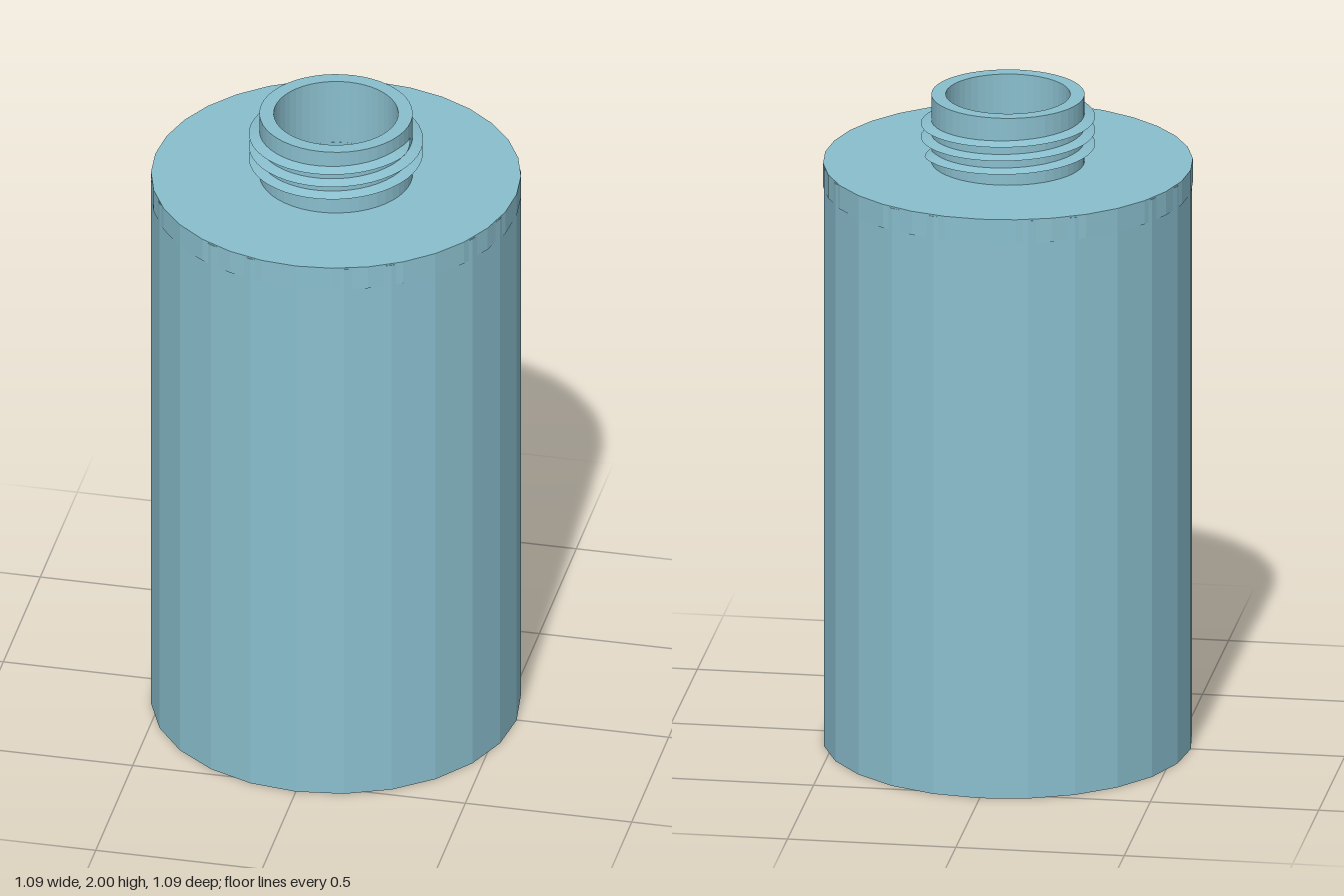
import * as THREE from 'three';

const material = new THREE.MeshStandardMaterial({ color: 0x8abfce });
material.name = 'dusty blue';

// Facets every face so the low-poly sides stay crisp
function addPart(group, name, geometry) {
  const flat = geometry.index ? geometry.toNonIndexed() : geometry;
  flat.computeVertexNormals();
  const mesh = new THREE.Mesh(flat, material);
  mesh.name = name;
  group.add(mesh);
}

// Closed hollow ring with a rectangular section
function ring(outer, inner, bottom, top, sides) {
  const section = [[inner, bottom], [outer, bottom], [outer, top], [inner, top], [inner, bottom]];
  return new THREE.LatheGeometry(section.map(([r, y]) => new THREE.Vector2(r, y)), sides);
}

// Triangular ridge winding up the neck, fading out at both ends
function helix(root, depth, halfHeight, bottom, top, turns, stepsPerTurn) {
  const steps = turns * stepsPerTurn;
  const fade = stepsPerTurn / 14;
  const positions = [];
  const indices = [];
  for (let i = 0; i <= steps; i++) {
    const angle = (i / stepsPerTurn) * Math.PI * 2;
    const y = bottom + ((top - bottom) * i) / steps;
    const k = Math.min(1, i / fade, (steps - i) / fade);
    for (const [r, h] of [[root, -halfHeight * k], [root + depth * k, 0], [root, halfHeight * k]]) {
      positions.push(r * Math.cos(angle), y + h, -r * Math.sin(angle));
    }
    if (i === steps) continue;
    for (let j = 0; j < 2; j++) {
      const a = i * 3 + j;
      indices.push(a, a + 3, a + 1, a + 4, a + 1, a + 3);
    }
  }
  const geometry = new THREE.BufferGeometry();
  geometry.setAttribute('position', new THREE.Float32BufferAttribute(positions, 3));
  geometry.setIndex(indices);
  return geometry;
}

export function createModel() {
  const group = new THREE.Group();
  group.name = 'threadedContainer';

  // Open-bottomed body and the slightly rounder lid plate
  addPart(group, 'body', ring(0.543, 0.483, 0, 1.788, 24));
  addPart(group, 'topPlate', ring(0.543, 0.183, 1.72, 1.793, 32));

  // Hollow neck with its screw thread
  addPart(group, 'neck', ring(0.225, 0.183, 1.72, 2, 48));
  addPart(group, 'screwThread', helix(0.222, 0.034, 0.011, 1.825, 1.951, 3, 48));

  return group;
}
